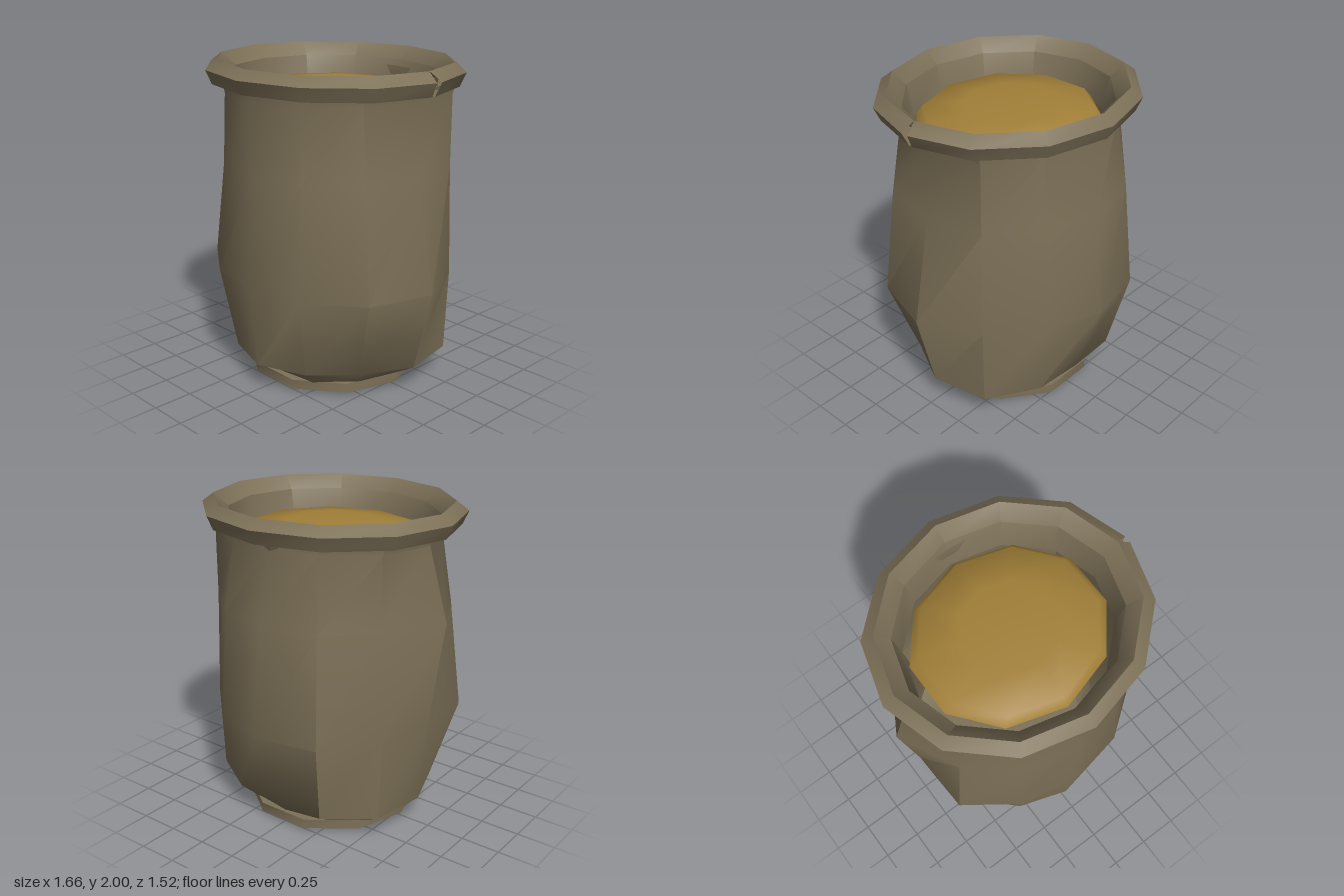
import * as THREE from 'three';
import { toCreasedNormals } from 'three/addons/utils/BufferGeometryUtils.js';

const clay = new THREE.MeshStandardMaterial({ color: 0x7c7057, side: THREE.DoubleSide });
clay.name = 'clay';
const honey = new THREE.MeshStandardMaterial({ color: 0xa28038, side: THREE.DoubleSide });
honey.name = 'golden filling';

// Lofts rings of [y, x radius, z radius, optional scale per corner], listed from the
// bottom outside upwards. Corners start on +x; tweak(point, ring, column) may nudge them.
function loft(name, rings, sides, material, crease, tweak) {
  const positions = [];
  const index = [];
  const p = new THREE.Vector3();
  rings.forEach(([y, rx, rz, scales], r) => {
    for (let c = 0; c <= sides; c++) {
      const a = -(c % sides) / sides * Math.PI * 2;
      const s = scales ? scales[c % sides] : 1;
      p.set(s * rx * Math.cos(a), y, s * rz * Math.sin(a));
      if (tweak) tweak(p, r, c);
      positions.push(p.x, p.y, p.z);
      if (r > 0 && c > 0) {
        const d = r * (sides + 1) + c, e = d - sides - 1;
        index.push(e - 1, e, d, e - 1, d, d - 1);
      }
    }
  });
  const geometry = new THREE.BufferGeometry();
  geometry.setAttribute('position', new THREE.Float32BufferAttribute(positions, 3));
  geometry.setIndex(index);
  const mesh = new THREE.Mesh(toCreasedNormals(geometry, crease), material);
  mesh.name = name;
  return mesh;
}

export function createModel() {
  const pot = new THREE.Group();
  pot.name = 'pot';

  // Lopsided hand-made body: corner radii run from +x past the back (-z) to -x and the front
  const neck = [0.66, 0.73, 0.63, 0.58, 0.64, 0.70, 0.69, 0.66, 0.67, 0.68, 0.67, 0.66];
  pot.add(loft('body', [
    [0.07, 0.53, 0.50],
    [0.17, 1, 1, [0.70, 0.73, 0.64, 0.58, 0.66, 0.71, 0.67, 0.64, 0.64, 0.66, 0.63, 0.62]],
    [0.69, 1, 1, [0.83, 0.75, 0.74, 0.76, 0.79, 0.74, 0.72, 0.81, 0.74, 0.71, 0.75, 0.81]],
    [1.37, 1, 1, [0.70, 0.73, 0.70, 0.69, 0.72, 0.71, 0.82, 0.73, 0.69, 0.68, 0.69, 0.73]],
    [1.81, 1, 1, neck],
    [1.88, 1.03, 1.01, neck],
  ], 12, clay, 0.62, (p, r, c) => {
    if (r === 0) p.y += 0.018 * Math.sin((c % 12) * 2.3);   // uneven lower edge
  }));

  // Foot ring and base
  pot.add(loft('foot', [
    [0, 0, 0], [0, 0.48, 0.48], [0.02, 0.49, 0.49],
    [0.02, 0.55, 0.55], [0.08, 0.55, 0.55], [0.085, 0.42, 0.42],
  ], 10, clay, 0.7));

  // Bevelled rim and inner wall, split by a small notch on the +x side
  const split = [0, 0.01, 0.022, 0, 0, 0];
  pot.add(loft('rim', [
    [1.86, 0.66, 0.60], [1.86, 0.79, 0.725], [1.945, 0.83, 0.76],
    [2, 0.755, 0.69], [1.92, 0.665, 0.61], [1.72, 0.62, 0.57],
  ], 12, clay, 0.6, (p, r, c) => {
    if (c === 0) p.z -= split[r];
    if (c === 12) p.z += split[r];
  }));

  // Gently domed filling, a corner at front and back
  const filling = loft('filling', [
    [1.76, 0.54, 0.595], [1.82, 0.50, 0.54], [1.85, 0.28, 0.30], [1.855, 0, 0],
  ], 10, honey, 1.2);
  filling.rotation.y = Math.PI / 2;
  pot.add(filling);

  return pot;
}
